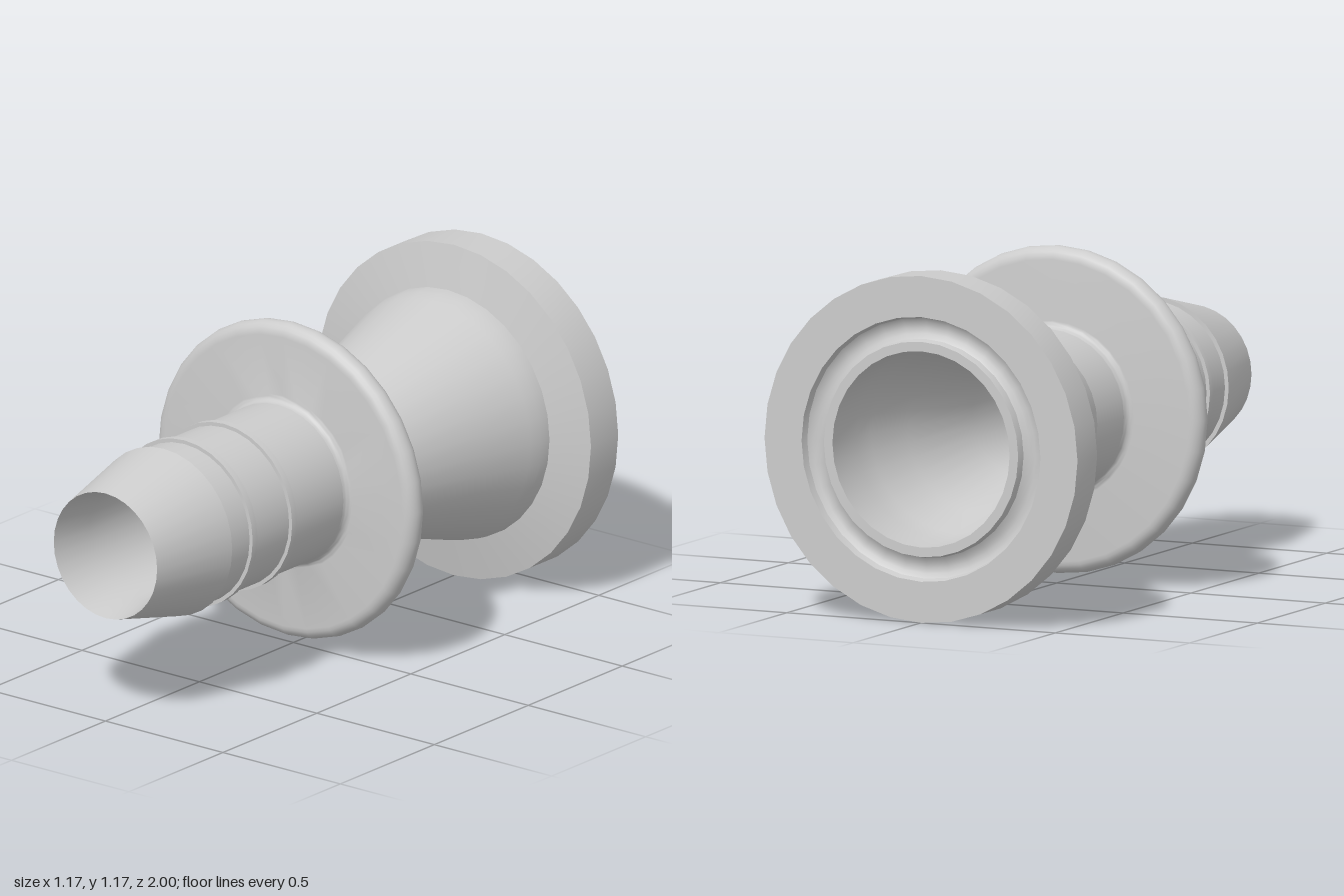
import * as THREE from 'three';
import { toCreasedNormals } from 'three/addons/utils/BufferGeometryUtils.js';

const SIDES = 32;
const RADIUS = 0.583;

export function createModel() {
  const group = new THREE.Group();
  const material = new THREE.MeshStandardMaterial({ color: 0xcccccc });

  // Turns a [z, radius] profile around the z axis; rising z faces outwards, falling z inwards.
  function turned(name, profile) {
    const points = profile.map(([z, r]) => new THREE.Vector2(r, z));
    const geometry = new THREE.LatheGeometry(points, SIDES).rotateX(Math.PI / 2);
    const mesh = new THREE.Mesh(toCreasedNormals(geometry, 0.6), material);
    mesh.name = name;
    mesh.position.y = RADIUS;
    group.add(mesh);
  }

  // Points along an arc in the profile plane.
  function arc(z, r, radius, from, to, steps = 6) {
    return Array.from({ length: steps + 1 }, (_, i) => {
      const a = THREE.MathUtils.degToRad(from + ((to - from) * i) / steps);
      return [z + radius * Math.cos(a), r + radius * Math.sin(a)];
    });
  }

  // Hose stem with its tapered barb
  const stem = 0.278;
  turned('hoseStem', [[-0.25, stem], [0.69, stem], [0.69, 0.292], [1, 0.22]]);

  // Two narrow raised ribs
  for (const z of [0.357, 0.567]) {
    turned('stemRib', [
      [z - 0.013, stem], [z - 0.013, 0.291], [z + 0.013, 0.291], [z + 0.013, stem],
    ]);
  }

  // Disc collar with rounded rim and filleted root
  const mid = 0.013, half = 0.043, fillet = 0.025;
  turned('collar', [
    ...arc(mid - half - fillet, stem + fillet, fillet, -90, 0),
    ...arc(mid, 0.551 - half, half, 180, 0, 10),
    ...arc(mid + half + fillet, stem + fillet, fillet, 180, 270),
  ]);

  // Flaring neck
  turned('flaredNeck', [
    [-0.84, 0.433], [-0.82, 0.433], [-0.78, 0.428], [-0.74, 0.417], [-0.56, 0.363], [-0.25, stem],
  ]);

  // End flange: bore lip, gasket groove, flat face, rim and sloped shoulder
  turned('endFlange', [
    [-1, 0.33], [-1, 0.362],
    [-0.972, 0.368], [-0.96, 0.385], [-0.957, 0.404], [-0.96, 0.423], [-0.972, 0.438],
    [-1, 0.445], [-1, RADIUS], [-0.855, RADIUS], [-0.82, 0.425],
  ]);

  // Through bore, opening at both ends
  turned('bore', [
    [1, 0.22], [0.85, 0.19], [-0.25, 0.19], [-0.56, 0.272], [-0.74, 0.317], [-0.82, 0.33], [-1, 0.33],
  ]);

  return group;
}
